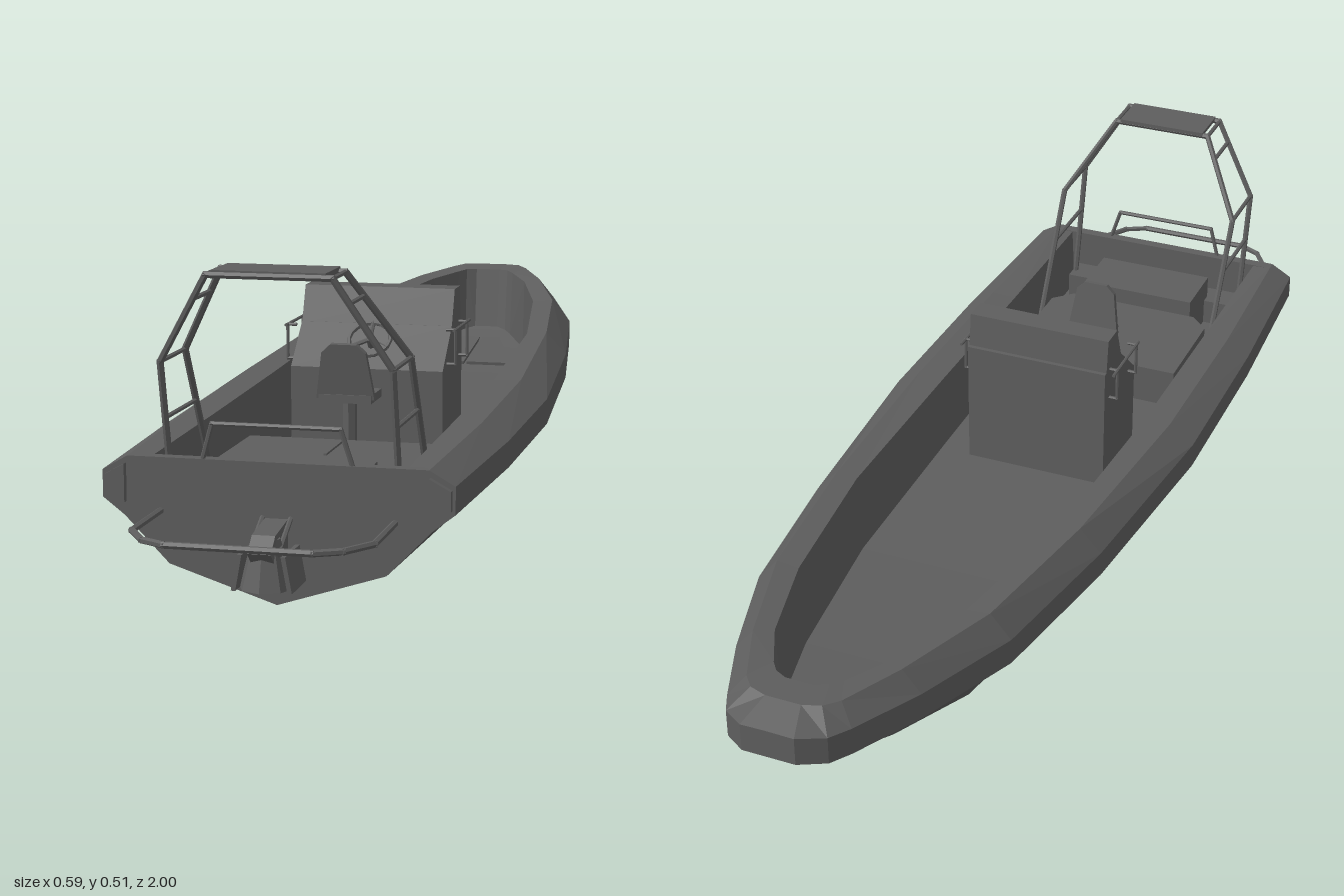
import * as THREE from 'three';

const hullGrey = new THREE.MeshStandardMaterial({ color: 0x5e5e5e, side: THREE.DoubleSide });
hullGrey.name = 'dark grey';

function addMesh(parent, geo, name, x = 0, y = 0, z = 0) {
  const g = geo.index ? geo.toNonIndexed() : geo;
  g.computeVertexNormals(); // faceted look
  const m = new THREE.Mesh(g, hullGrey);
  m.name = name;
  m.position.set(x, y, z);
  parent.add(m);
  return m;
}

const box = (p, name, w, h, d, x, y, z) => addMesh(p, new THREE.BoxGeometry(w, h, d), name, x, y, z);

// Straight tubes joining a run of points
function bars(parent, pts, r, name) {
  const grp = new THREE.Group();
  grp.name = name;
  for (let i = 0; i < pts.length - 1; i++) {
    const a = new THREE.Vector3(...pts[i]), b = new THREE.Vector3(...pts[i + 1]);
    const m = addMesh(grp, new THREE.CylinderGeometry(r, r, a.distanceTo(b) + r, 6), name);
    m.position.copy(a).lerp(b, 0.5);
    m.quaternion.setFromUnitVectors(new THREE.Vector3(0, 1, 0), b.sub(a).normalize());
  }
  parent.add(grp);
}

// Both halves of a skin between lengthwise lines
function loft(lines) {
  const pos = [];
  for (const s of [1, -1]) {
    for (let j = 0; j < lines.length - 1; j++) {
      for (let i = 0; i < lines[j].length - 1; i++) {
        const [a, b, c, d] = [lines[j][i], lines[j + 1][i], lines[j + 1][i + 1], lines[j][i + 1]];
        const order = s > 0 ? [a, d, c, a, c, b] : [a, c, d, a, b, c];
        for (const p of order) pos.push(p[0] * s, p[1], p[2]);
      }
    }
  }
  const g = new THREE.BufferGeometry();
  g.setAttribute('position', new THREE.Float32BufferAttribute(pos, 3));
  return g;
}

const polygon = pts => new THREE.Shape(pts.map(p => new THREE.Vector2(p[0], p[1])));
const extrude = (pts, depth) => new THREE.ExtrudeGeometry(polygon(pts), { depth, bevelEnabled: false });
const mirrored = pts => [...pts, ...pts.slice().reverse().filter(p => p[0] > 0).map(p => [-p[0], p[1]])];

// Outline extruded across the boat: points are (z, y)
function sideProfile(pts, width) {
  const g = extrude(pts.map(([z, y]) => [-z, y]), width);
  g.translate(0, 0, -width / 2);
  g.rotateY(Math.PI / 2);
  return g;
}

// Lengthwise lines as [x, y, z], stern to bow
const keel = [[0, .003, .79], [0, .003, .45], [0, .003, .1], [0, .003, -.3], [0, .02, -.5],
  [0, .06, -.68], [0, .12, -.82], [0, .15, -.88], [0, .18, -.92], [0, .215, -.96]];
const chine = [[.17, .058, .79], [.185, .058, .45], [.19, .06, .1], [.185, .075, -.3], [.15, .105, -.6],
  [.1, .145, -.78], [.06, .185, -.9], [.045, .2, -.935], [.02, .21, -.955], [0, .215, -.96]];
const railUnder = [[.24, .13, .79], [.255, .132, .45], [.26, .137, .1], [.235, .152, -.3], [.195, .172, -.6],
  [.13, .195, -.8], [.085, .213, -.92], [.065, .22, -.95], [.03, .23, -.975], [0, .232, -.98]];
const railLow = [[.275, .157, .79], [.292, .158, .45], [.296, .162, .1], [.266, .175, -.3], [.226, .193, -.6],
  [.16, .212, -.8], [.105, .226, -.93], [.085, .232, -.97], [.045, .24, -1], [0, .24, -1]];
const railHigh = railLow.map(([x, y, z], i) => [x, y + .043 + i * .0008, z]);
const railTop = [[.235, .223, .79], [.248, .23, .45], [.25, .24, .1], [.228, .262, -.3], [.19, .282, -.6],
  [.128, .298, -.8], [.08, .305, -.91], [.06, .308, -.935], [.03, .308, -.945], [0, .308, -.945]];
const railInner = [[.2, .221, .79], [.2, .228, .45], [.2, .237, .1], [.19, .258, -.3], [.15, .278, -.6],
  [.1, .293, -.78], [.06, .3, -.86], [.045, .303, -.88], [.025, .303, -.89], [0, .303, -.89]];
const floorY = [.1, .1, .1, .11, .125, .15, .17, .175, .18, .18];
const floorEdge = railInner.map(([x, , z], i) => [x * .97, floorY[i], z < -.8 ? z + .02 : z]);
const floorMid = floorEdge.map(([, y, z]) => [0, y, z]);

function addHull(g) {
  addMesh(g, loft([keel, chine, railUnder]), 'hull');
  addMesh(g, loft([railUnder, railLow, railHigh, railTop, railInner]), 'gunwale');
  addMesh(g, loft([railInner, floorEdge]), 'innerWall');
  addMesh(g, loft([floorEdge, floorMid]), 'floor');
  const end = [[0, .003], [.17, .058], [.24, .13], [.275, .157], [.275, .2], [.235, .223]];
  addMesh(g, extrude(mirrored(end), .02), 'transom', 0, 0, .771);
  // Blunt ends of the side fenders
  for (const s of [1, -1]) {
    const cap = extrude([[.237, .152], [.27, .163], [.27, .194], [.237, .212]].map(([x, y]) => [x * s, y]), .012);
    addMesh(g, cap, 'fenderEnd', 0, 0, .79);
  }
  // Bow hatch in two leaves
  for (const s of [1, -1]) {
    const leaf = extrude([[.003 * s, 0], [.1 * s, 0], [.04 * s, .18], [.003 * s, .18]], .006);
    leaf.rotateX(-Math.PI / 2 + .14);
    addMesh(g, leaf, 'bowHatch', 0, .134, -.64);
  }
}

function addConsole(g) {
  addMesh(g, sideProfile([[.065, .1], [.225, .1], [.225, .27], [.15, .338], [.065, .338]], .27), 'consoleBody');
  addMesh(g, sideProfile([[.066, .28], [.15, .335], [.125, .4], [.08, .4]], .27), 'consoleScreen');
  for (const s of [1, -1]) {
    for (const z of [.09, .19]) {
      bars(g, [[s * .135, .278, z], [s * .15, .278, z], [s * .15, .338, z], [s * .135, .338, z]], .003, 'consoleHandle');
    }
    bars(g, [[s * .15, .338, .07], [s * .15, .338, .2]], .003, 'consoleHandle');
  }
  const wheel = new THREE.Group();
  wheel.name = 'steeringWheel';
  addMesh(wheel, new THREE.TorusGeometry(.037, .004, 6, 16), 'wheelRim');
  for (let i = 0; i < 3; i++) {
    const a = Math.PI / 2 + i * Math.PI * 2 / 3;
    bars(wheel, [[0, 0, 0], [.037 * Math.cos(a), .037 * Math.sin(a), 0]], .004, 'wheelSpoke');
  }
  bars(wheel, [[0, 0, 0], [0, 0, -.03]], .006, 'wheelShaft');
  wheel.position.set(0, .318, .2);
  wheel.rotation.x = -.85;
  g.add(wheel);
}

function addSeat(g) {
  box(g, 'seatCushion', .09, .014, .075, 0, .244, .338);
  bars(g, [[0, .1, .34], [0, .24, .34]], .012, 'seatPost');
  const back = extrude(mirrored([[.05, 0], [.038, .08], [.022, .095]]), .01);
  const m = addMesh(g, back, 'seatBack', 0, .245, .362);
  m.rotation.x = .15;
}

function addLockers(g) {
  const lid = extrude(mirrored([[.165, -.375], [.165, -.565], [.13, -.6]].reverse()), .075);
  lid.rotateX(-Math.PI / 2);
  addMesh(g, lid, 'engineBox', 0, .1, 0);
  box(g, 'engineBoxSeam', .005, .005, .13, 0, .176, .44);
  box(g, 'sternLocker', .23, .095, .115, 0, .147, .678);
  box(g, 'sternStep', .37, .05, .06, 0, .125, .745);
}

function addArch(g) {
  const front = [[.18, .12, .53], [.18, .37, .67], [.097, .508, .745]];
  const rear = [[.18, .12, .735], [.18, .37, .79], [.097, .508, .822]];
  const flip = p => [-p[0], p[1], p[2]];
  for (const leg of [front, rear]) bars(g, [...leg, ...leg.slice().reverse().map(flip)], .0055, 'archFrame');
  // Rungs between the front and rear legs
  const at = (leg, y) => {
    const i = y < .37 ? 0 : 1;
    const t = (y - leg[i][1]) / (leg[i + 1][1] - leg[i][1]);
    return leg[i].map((v, k) => v + (leg[i + 1][k] - v) * t);
  };
  for (const y of [.28, .37, .47, .508]) {
    const a = at(front, y), b = at(rear, y);
    bars(g, [a, b], .004, 'archRung');
    bars(g, [flip(a), flip(b)], .004, 'archRung');
  }
  box(g, 'archTopPlate', .175, .007, .085, 0, .512, .782);
}

function addStern(g) {
  bars(g, [[.118, .218, .785], [.1, .278, .79], [-.1, .278, .79], [-.118, .218, .785]], .004, 'sternRail');
  const half = [[.183, .14, .785], [.183, .14, .92], [.15, .14, .972], [.11, .14, .993]];
  bars(g, [...half, ...half.slice().reverse().map(([x, y, z]) => [-x, y, z])], .0055, 'swimGuard');
  // Drive leg: upper housing, tapered nozzle and side fins
  addMesh(g, sideProfile([[.785, .05], [.83, .05], [.885, .105], [.86, .128], [.785, .138]], .036), 'driveHousing');
  const nozzle = new THREE.CylinderGeometry(.022, .042, .075, 8);
  addMesh(g, nozzle, 'driveNozzle', 0, .083, .845);
  for (const s of [1, -1]) {
    const fin = extrude([[.03 * s, .1], [.037 * s, .1], [.047 * s, .045], [.04 * s, .045]], .08);
    addMesh(g, fin, 'driveFin', 0, 0, .795);
    bars(g, [[s * .022, .138, .79], [s * .022, .1, .86]], .004, 'driveStrut');
  }
}

export function createModel() {
  const g = new THREE.Group();
  g.name = 'patrolBoat';
  for (const build of [addHull, addConsole, addSeat, addLockers, addArch, addStern]) build(g);
  return g;
}
